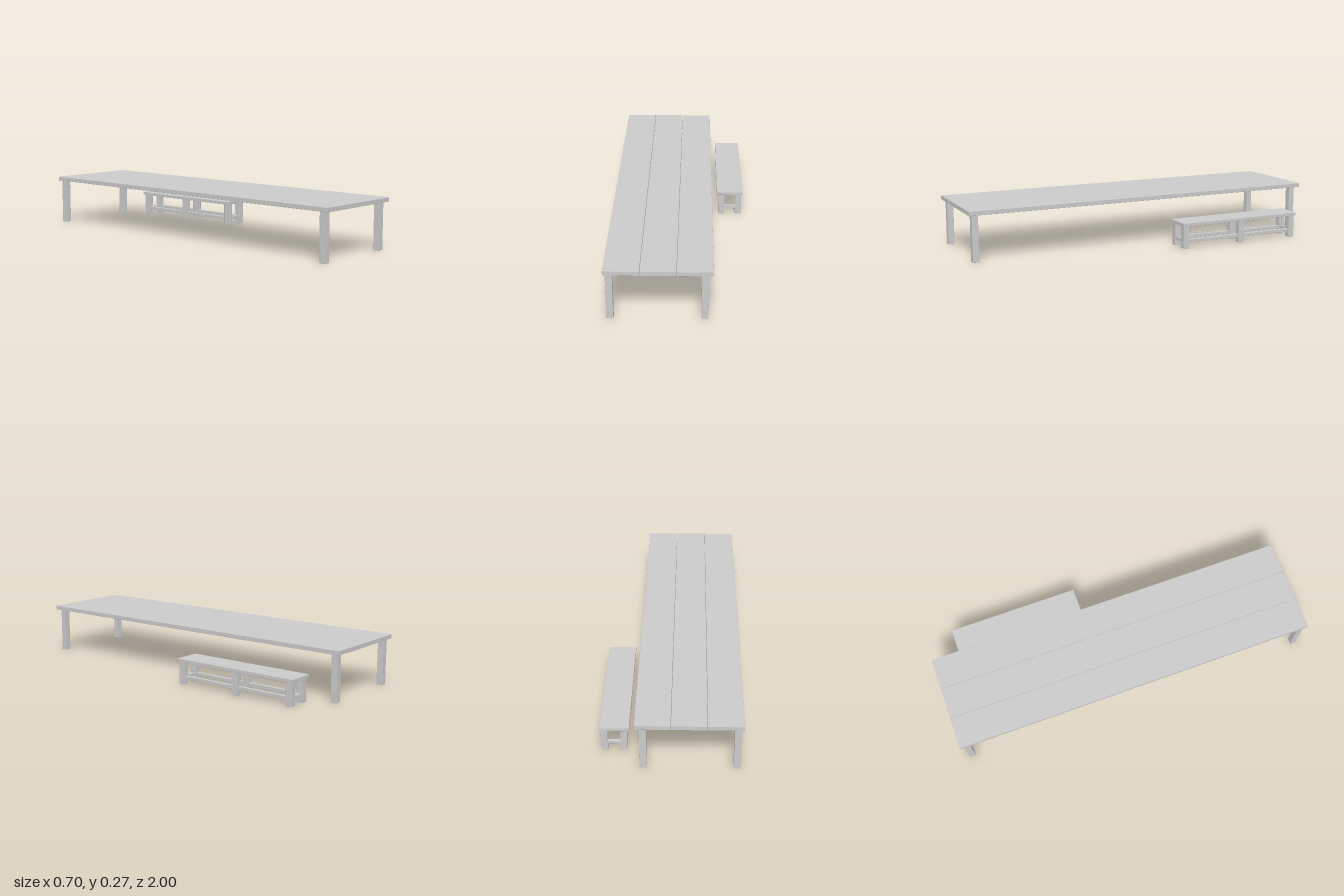
import * as THREE from 'three';
import { RoundedBoxGeometry } from 'three/addons/geometries/RoundedBoxGeometry.js';

const material = new THREE.MeshStandardMaterial({ color: 0xcccccc });

// Timber with slightly eased edges, given by its extents on each axis
function beam(parent, name, [x0, x1], [y0, y1], [z0, z1]) {
  const geometry = new RoundedBoxGeometry(x1 - x0, y1 - y0, z1 - z0, 1, 0.0015);
  const mesh = new THREE.Mesh(geometry, material);
  mesh.name = name;
  mesh.position.set((x0 + x1) / 2, (y0 + y1) / 2, (z0 + z1) / 2);
  parent.add(mesh);
}

const around = (centre, size) => [centre - size / 2, centre + size / 2];

function createTable() {
  const table = new THREE.Group();
  table.name = 'table';
  // Three long planks with narrow gaps
  const pitch = 0.1745;
  for (const i of [-1, 0, 1]) {
    beam(table, 'tablePlank', around(-0.0905 + i * pitch, 0.173), [0.248, 0.271], [-1, 1]);
  }
  // Corner legs
  for (const x of [-0.324, 0.132]) {
    for (const z of [-0.963, 0.963]) {
      beam(table, 'tableLeg', around(x, 0.034), [0, 0.248], around(z, 0.034));
    }
  }
  return table;
}

function createBench() {
  const bench = new THREE.Group();
  bench.name = 'bench';
  const legX = [0.232, 0.328];
  const legZ = [-0.15, -0.498, -0.829];
  const railY = [0.03, 0.048];
  beam(bench, 'benchSeat', [0.205, 0.351], [0.122, 0.14], [-0.854, -0.129]);
  for (const x of legX) {
    for (const z of legZ) {
      beam(bench, 'benchLeg', around(x, 0.034), [0, 0.122], around(z, 0.034));
    }
    // Long rails between neighbouring legs
    for (let i = 0; i < 2; i++) {
      beam(bench, 'benchRail', around(x, 0.018), railY, [legZ[i + 1] + 0.016, legZ[i] - 0.016]);
    }
  }
  // Cross rails at both ends
  for (const z of [legZ[0], legZ[2]]) {
    beam(bench, 'benchCrossRail', [legX[0] + 0.016, legX[1] - 0.016], railY, around(z, 0.018));
  }
  return bench;
}

export function createModel() {
  const model = new THREE.Group();
  model.name = 'tableWithBench';
  model.add(createTable(), createBench());
  return model;
}
